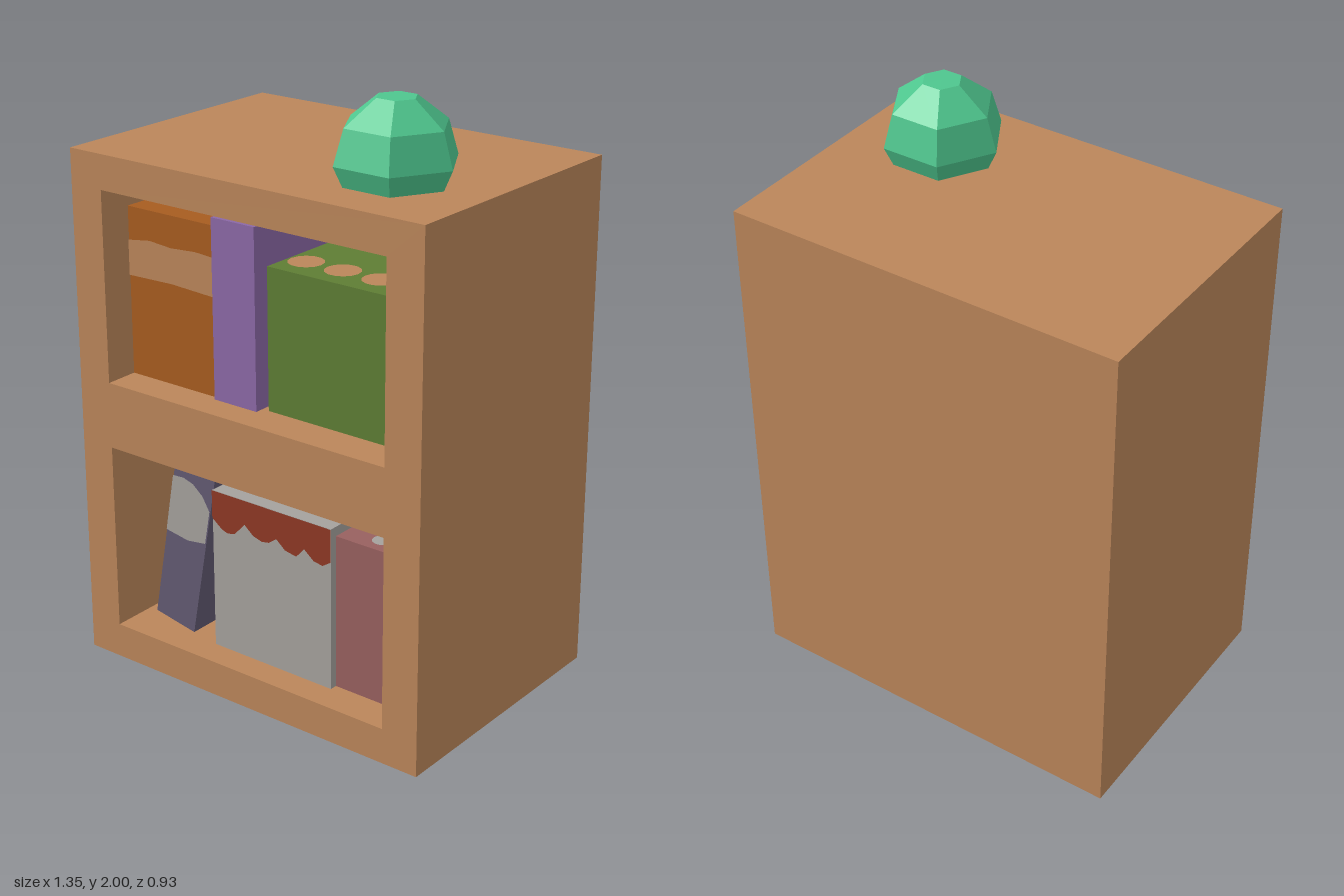
import * as THREE from 'three';

const paint = (name, color) => Object.assign(new THREE.MeshStandardMaterial({ color }), { name });

export function createModel() {
  const model = new THREE.Group();
  model.name = 'bookcase';
  const wood = paint('wood', 0xbb865a);
  const orange = paint('burnt orange', 0xa75c20);
  const purple = paint('purple', 0x8b68a6);
  const green = paint('moss green', 0x5e7d34);
  const red = paint('brick red', 0x8e3824);
  const grey = paint('warm grey', 0xa5a19d);
  const slate = paint('slate violet', 0x625a72);
  const pink = paint('dusty pink', 0x98605f);
  const jade = paint('jade', 0x4ec68e);
  jade.flatShading = true;

  const add = (name, geometry, material, x = 0, y = 0, z = 0) => {
    const mesh = new THREE.Mesh(geometry, material);
    mesh.name = name;
    mesh.position.set(x, y, z);
    model.add(mesh);
    return mesh;
  };
  const outline = (points) => new THREE.Shape(points.map(([x, y]) => new THREE.Vector2(x, y)));
  const rect = (x0, x1, y0, y1) => [[x0, y0], [x1, y0], [x1, y1], [x0, y1]];

  // Cabinet: frame with two recesses, closed by a thick back
  const W = 0.675, H = 1.745, FRONT = 0.467, BACK = -0.233;
  const face = outline(rect(-W, W, 0, H));
  for (const [y0, y1] of [[0.12, 0.765], [0.99, 1.63]]) {
    face.holes.push(outline(rect(-0.55, 0.545, y0, y1)));
  }
  add('cabinetFrame', new THREE.ExtrudeGeometry(face, { depth: FRONT - BACK, bevelEnabled: false }), wood, 0, 0, BACK);
  const backDepth = FRONT + BACK;
  add('cabinetBack', new THREE.BoxGeometry(2 * W, H, backDepth), wood, 0, H / 2, -FRONT + backDepth / 2);

  // Upright books: left, right, bottom, top, front
  const DEPTH = 0.5;
  const books = [
    ['orangeBook', orange, -0.55, -0.19, 0.99, 1.553, 0.35],
    ['purpleBook', purple, -0.19, -0.02, 0.99, 1.585, 0.367],
    ['greenBook', green, 0.005, 0.545, 0.99, 1.46, 0.337],
    ['greyBook', grey, -0.205, 0.275, 0.12, 0.677, 0.372],
    ['pinkBook', pink, 0.275, 0.545, 0.12, 0.645, 0.347],
  ];
  for (const [name, material, x0, x1, y0, y1, front] of books) {
    add(name, new THREE.BoxGeometry(x1 - x0, y1 - y0, DEPTH), material,
      (x0 + x1) / 2, (y0 + y1) / 2, front - DEPTH / 2);
  }

  // Leaning book
  const leaning = outline([[-0.48, 0.15], [-0.315, 0.12], [-0.207, 0.707], [-0.374, 0.737]]);
  add('leaningBook', new THREE.ExtrudeGeometry(leaning, { depth: DEPTH, bevelEnabled: false }), slate, 0, 0, 0.355 - DEPTH);

  // Painted cover details
  const plate = (name, points, material, front) =>
    add(name, new THREE.ShapeGeometry(outline(points)), material, 0, 0, front + 0.003);
  plate('orangeBookStripe', [[-0.55, 1.325], [-0.37, 1.33], [-0.19, 1.322], [-0.19, 1.45],
    [-0.27, 1.455], [-0.37, 1.448], [-0.46, 1.455], [-0.55, 1.442]], wood, 0.35);
  plate('leaningBookPatch', [[-0.422, 0.47], [-0.33, 0.455], [-0.254, 0.465], [-0.232, 0.585],
    [-0.26, 0.632], [-0.3, 0.665], [-0.34, 0.677], [-0.386, 0.675]], grey, 0.355);
  plate('greyBookDrip', [[-0.205, 0.677], [-0.205, 0.58], [-0.165, 0.55], [-0.14, 0.542], [-0.11, 0.55],
    [-0.07, 0.594], [-0.035, 0.565], [0, 0.555], [0.03, 0.56], [0.06, 0.582], [0.095, 0.553],
    [0.14, 0.545], [0.172, 0.58], [0.21, 0.55], [0.245, 0.545], [0.275, 0.565], [0.275, 0.677]], red, 0.372);

  // Spots on the book tops
  const spot = (name, x, y, z, r, material) => {
    add(name, new THREE.CircleGeometry(r, 14).rotateX(-Math.PI / 2), material, x, y + 0.003, z);
  };
  for (const x of [0.075, 0.215, 0.355, 0.485]) spot('greenBookSpot', x, 1.46, 0.235, 0.058, wood);
  spot('pinkBookSpot', 0.41, 0.645, 0.285, 0.035, grey);

  // Six-sided faceted ornament on the cabinet top
  const profile = [[0, 0], [0.17, 0], [0.2, 0.065], [0.167, 0.175], [0.065, 0.255], [0, 0.255]];
  add('ornament', new THREE.LatheGeometry(profile.map(([r, y]) => new THREE.Vector2(r, y)), 6, Math.PI / 6),
    jade, 0.356, H, 0.165);

  return model;
}
